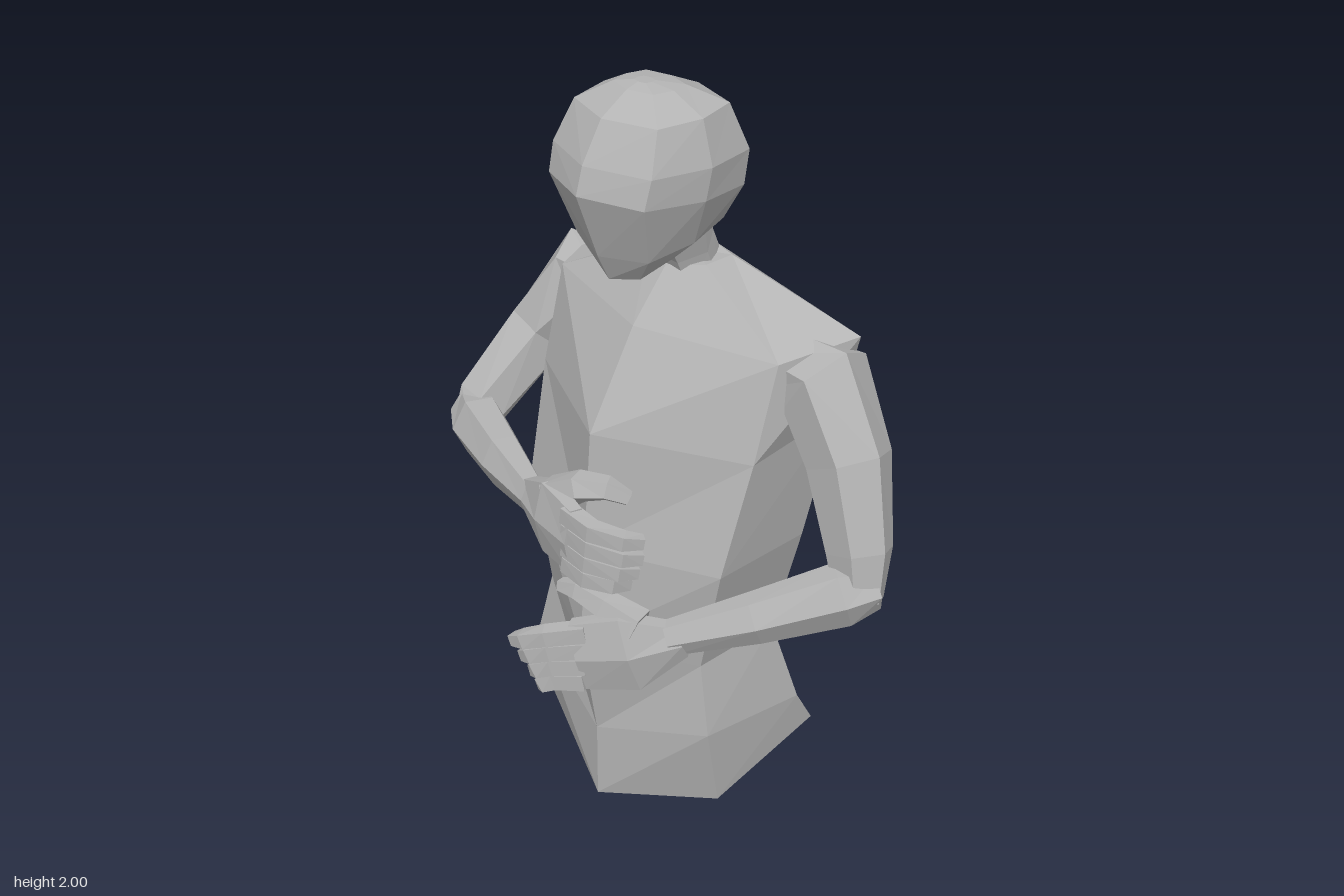
import * as THREE from 'three';

const V = (x, y, z) => new THREE.Vector3(x, y, z);

// Faceted skin over rings that run counter-clockwise around the path; closed at both ends.
function loft(name, rings, material, startTip) {
  const pos = [];
  const tri = (...p) => p.forEach(v => pos.push(v.x, v.y, v.z));
  const mid = r => r.reduce((s, p) => s.add(p), V(0, 0, 0)).divideScalar(r.length);
  const n = rings[0].length;
  const first = rings[0], last = rings[rings.length - 1];
  const tip = startTip || mid(first), end = mid(last);
  for (let j = 0; j < n; j++) {
    const k = (j + 1) % n;
    for (let i = 0; i < rings.length - 1; i++) {
      const a = rings[i], b = rings[i + 1];
      // the second half of the ring mirrors the diagonals of the first
      if (j < n / 2) {
        tri(a[j], a[k], b[k]);
        tri(a[j], b[k], b[j]);
      } else {
        tri(a[j], a[k], b[j]);
        tri(a[k], b[k], b[j]);
      }
    }
    tri(tip, first[k], first[j]);
    tri(end, last[j], last[k]);
  }
  const g = new THREE.BufferGeometry();
  g.setAttribute('position', new THREE.Float32BufferAttribute(pos, 3));
  g.computeVertexNormals();
  const mesh = new THREE.Mesh(g, material);
  mesh.name = name;
  return mesh;
}

// Limb along points [x, y, z, radius along ref, other radius].
function limb(name, pts, material, sides = 6, ref = V(0, 1, 0)) {
  const c = pts.map(p => V(p[0], p[1], p[2]));
  const rings = pts.map((p, i) => {
    const t = c[Math.min(i + 1, c.length - 1)].clone().sub(c[Math.max(i - 1, 0)]).normalize();
    const u = ref.clone().addScaledVector(t, -ref.dot(t)).normalize();
    const v = t.clone().cross(u);
    return Array.from({ length: sides }, (_, j) => {
      const a = (j + 0.5) / sides * Math.PI * 2;
      return c[i].clone().addScaledVector(u, Math.cos(a) * p[3])
        .addScaledVector(v, Math.sin(a) * (p[4] ?? p[3]));
    });
  });
  return loft(name, rings, material);
}

export function createModel() {
  const model = new THREE.Group();
  model.name = 'upperBodyFigure';
  const grey = new THREE.MeshStandardMaterial({ color: 0xb4b4b4 });
  grey.name = 'grey';

  // Torso: front [y, z], side front [half width, y, z], side back [half width, y, z], back [y, z]
  const cx = -0.03;
  const torso = [
    [[0, 0.155], [0.33, 0.1, 0.025], [0.31, 0.17, -0.35], [0.17, -0.455]],
    [[0.22, 0.155], [0.335, 0.33, 0.07], [0.32, 0.28, -0.28], [0.28, -0.36]],
    [[0.52, 0.205], [0.29, 0.52, 0.055], [0.28, 0.52, -0.215], [0.53, -0.31]],
    [[0.8, 0.19], [0.36, 0.82, 0.06], [0.35, 0.82, -0.24], [0.88, -0.37]],
    [[1.12, 0.165], [0.385, 1.12, -0.02], [0.385, 1.16, -0.315], [1.23, -0.385]],
    [[1.37, 0.02], [0.39, 1.37, -0.09], [0.46, 1.4, -0.3], [1.48, -0.29]],
    [[1.5, -0.09], [0.1, 1.52, -0.13], [0.1, 1.52, -0.22], [1.53, -0.235]],
  ].map(([f, s, b, k]) => [
    V(cx, ...f), V(cx + s[0], s[1], s[2]), V(cx + b[0], b[1], b[2]),
    V(cx, ...k), V(cx - b[0], b[1], b[2]), V(cx - s[0], s[1], s[2]),
  ]);
  model.add(loft('torso', torso, grey, V(cx, 0.055, -0.32)));

  // Neck, leaning forward
  model.add(limb('neck', [
    [-0.03, 1.45, -0.19, 0.075, 0.09], [-0.025, 1.55, -0.145, 0.075, 0.085], [-0.02, 1.68, -0.08, 0.09, 0.095],
  ], grey, 6, V(0, 0, 1)));

  // Head: rings of [front y, back y, front z, back z, half width]
  const hx = -0.015;
  const head = [
    [1.53, 1.61, 0.11, -0.14, 0.085],
    [1.6, 1.66, 0.145, -0.185, 0.15],
    [1.77, 1.74, 0.21, -0.225, 0.198],
    [1.84, 1.83, 0.19, -0.235, 0.203],
    [1.94, 1.95, 0.13, -0.18, 0.17],
    [1.99, 1.99, 0.05, -0.09, 0.08],
  ].map(([yf, yb, zf, zb, w]) => {
    // outline as [width factor, position from back 0 to front 1]
    const half = [[0, 1], [0.84, 0.86], [1, 0.48], [0.84, 0.12], [0, 0]];
    const mirrored = half.slice(1, 4).reverse().map(([a, t]) => [-a, t]);
    return [...half, ...mirrored].map(([a, t]) => V(hx + a * w, yb + (yf - yb) * t, zb + (zf - zb) * t));
  });
  head.push(head[5].map(p => V(hx + (p.x - hx) * 0.3, 2, p.z * 0.3)));
  model.add(loft('head', head, grey));

  // Arms
  const fwd = V(0, 0, 1);
  model.add(limb('rightUpperArm', [
    [-0.3, 1.3, -0.2, 0.09, 0.1], [-0.46, 1.3, -0.215, 0.125, 0.12],
    [-0.55, 1.13, -0.12, 0.1, 0.095], [-0.595, 0.95, 0.05, 0.08, 0.08], [-0.59, 0.91, 0.1, 0.05],
  ], grey, 6, fwd));
  model.add(limb('rightForearm', [
    [-0.62, 0.93, 0.07, 0.06], [-0.54, 0.92, 0.11, 0.088, 0.075], [-0.34, 0.925, 0.19, 0.075, 0.062], [-0.13, 0.935, 0.265, 0.048, 0.037],
  ], grey));
  model.add(limb('leftUpperArm', [
    [0.24, 1.3, -0.2, 0.09, 0.1], [0.4, 1.3, -0.21, 0.125, 0.12],
    [0.5, 1.13, -0.2, 0.11, 0.105], [0.575, 0.92, -0.17, 0.085, 0.085], [0.6, 0.8, -0.15, 0.06, 0.065],
  ], grey, 6, fwd));
  model.add(limb('leftForearm', [
    [0.62, 0.835, -0.18, 0.06], [0.58, 0.82, -0.11, 0.085, 0.068], [0.44, 0.755, 0.05, 0.068, 0.058], [0.29, 0.69, 0.2, 0.048, 0.037],
  ], grey));

  // Hands: flat palms, thumbs and four curled fingers each
  const rightHand = new THREE.Group();
  rightHand.name = 'rightHand';
  rightHand.add(limb('palm', [
    [-0.16, 0.935, 0.255, 0.048, 0.035], [-0.04, 0.935, 0.29, 0.115, 0.045], [0.09, 0.93, 0.32, 0.105, 0.032],
  ], grey));
  rightHand.add(limb('thumb', [
    [-0.04, 0.99, 0.28, 0.05], [0.04, 1.04, 0.26, 0.042], [0.1, 1.045, 0.225, 0.033], [0.14, 1.02, 0.19, 0.02],
  ], grey, 5));
  const leftHand = new THREE.Group();
  leftHand.name = 'leftHand';
  leftHand.add(limb('palm', [
    [0.32, 0.69, 0.175, 0.048, 0.035], [0.22, 0.645, 0.26, 0.12, 0.045], [0.11, 0.615, 0.335, 0.11, 0.035],
  ], grey));
  leftHand.add(limb('thumb', [
    [0.23, 0.71, 0.24, 0.05], [0.14, 0.745, 0.27, 0.04], [0.06, 0.76, 0.285, 0.032], [0, 0.75, 0.295, 0.02],
  ], grey, 5));
  for (let i = 0; i < 4; i++) {
    const s = i / 3, bend = Math.sin((s * 0.8 + 0.1) * Math.PI) * 0.02;
    const y = 1 - s * 0.14;
    rightHand.add(limb('finger' + (i + 1), [
      [0.06, y, 0.322, 0.031], [0.15 - s * 0.02, y - 0.012, 0.322, 0.03],
      [0.22 + bend - s * 0.04, y - 0.022, 0.285, 0.027], [0.245 + bend - s * 0.05, y - 0.03, 0.245, 0.02],
    ], grey, 4));
    const ly = 0.69 - s * 0.145;
    leftHand.add(limb('finger' + (i + 1), [
      [0.13, ly, 0.33, 0.031], [0.06, ly - 0.015, 0.4 - s * 0.03, 0.03],
      [0.01 + s * 0.02, ly - 0.035, 0.43 - s * 0.045, 0.028], [-0.025 + s * 0.045, ly - 0.05, 0.435 - s * 0.06, 0.02],
    ], grey, 4));
  }
  model.add(rightHand, leftHand);
  return model;
}
